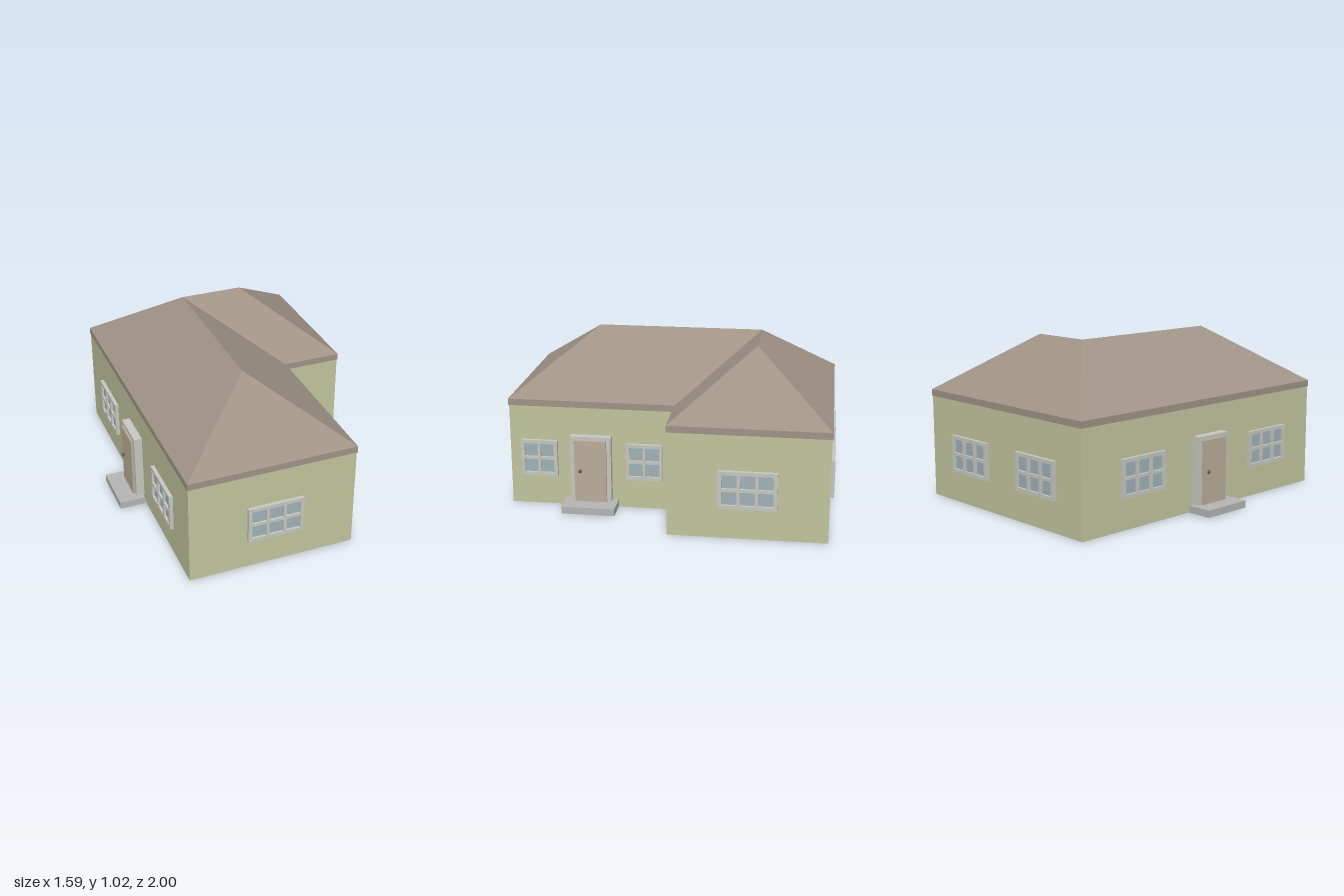
import * as THREE from 'three';

const mat = (color, extra = {}) => new THREE.MeshStandardMaterial({ color, ...extra });
const wallMat = mat(0xc2c59e), roofMat = mat(0xa09386, { flatShading: true });
const frameMat = mat(0xc8c8c2), glassMat = mat(0x9fb2b8), doorMat = mat(0xbbad99);
const stepMat = mat(0xb5b5b5, { side: THREE.DoubleSide }), knobMat = mat(0x6a5c48);

function add(parent, name, geometry, material, x = 0, y = 0, z = 0) {
  const mesh = new THREE.Mesh(geometry, material);
  mesh.name = name;
  mesh.position.set(x, y, z);
  parent.add(mesh);
  return mesh;
}

// L-shaped plan as [x, z] corners, optionally shrunk a little
const X0 = -0.63, X1 = 0.40, X2 = 0.77, Z0 = -0.98, Z1 = -0.04, Z2 = 0.977;
const plan = (i = 0) => [
  [X0 + i, Z0 + i], [X2 - i, Z0 + i], [X2 - i, Z1 - i],
  [X1 - i, Z1 - i], [X1 - i, Z2 - i], [X0 + i, Z2 - i],
];

function prism(corners, y0, y1) {
  const shape = new THREE.Shape(corners.map(([x, z]) => new THREE.Vector2(x, -z)));
  return new THREE.ExtrudeGeometry(shape, { depth: y1 - y0, bevelEnabled: false })
    .rotateX(-Math.PI / 2).translate(0, y0, 0);
}

// Hipped slopes meeting at an L-shaped ridge
function hipRoof() {
  const p = plan().map(([x, z]) => [x, 0.67, z]);
  p.push([-0.12, 1.02, 0.5], [-0.12, 1.02, -0.52], [0.27, 1.02, -0.52]);
  const faces = [[0, 7, 8, 1], [1, 8, 2], [2, 8, 7, 3], [3, 7, 6, 4], [4, 6, 5], [5, 6, 7, 0]];
  const pos = [];
  for (const f of faces) {
    for (let i = 1; i < f.length - 1; i++) pos.push(...p[f[0]], ...p[f[i]], ...p[f[i + 1]]);
  }
  const g = new THREE.BufferGeometry();
  g.setAttribute('position', new THREE.Float32BufferAttribute(pos, 3));
  g.computeVertexNormals();
  return g;
}

function rect(target, x, y, w, h) {
  target.moveTo(x, y);
  target.lineTo(x + w, y);
  target.lineTo(x + w, y + h);
  target.lineTo(x, y + h);
  target.closePath();
  return target;
}

// Window facing local +z, with its back on z = 0
function makeWindow(cols) {
  const g = new THREE.Group();
  g.name = 'window';
  const w = cols === 3 ? 0.342 : 0.225, h = 0.228, border = 0.022, bar = 0.018;
  const pw = (w - 2 * border - (cols - 1) * bar) / cols;
  const ph = (h - 2 * border - bar) / 2;
  const shape = rect(new THREE.Shape(), -w / 2, -h / 2, w, h);
  for (let c = 0; c < cols; c++) {
    for (let r = 0; r < 2; r++) {
      shape.holes.push(rect(new THREE.Path(),
        -w / 2 + border + c * (pw + bar), -h / 2 + border + r * (ph + bar), pw, ph));
    }
  }
  add(g, 'windowFrame', new THREE.ExtrudeGeometry(shape, { depth: 0.022, bevelEnabled: false }), frameMat);
  add(g, 'windowGlass', new THREE.BoxGeometry(w - 0.02, h - 0.02, 0.008), glassMat, 0, 0, 0.004);
  return g;
}

// Door, surround, knob and step facing local +z
function makeDoor() {
  const g = new THREE.Group();
  g.name = 'entrance';
  add(g, 'doorSurround', new THREE.BoxGeometry(0.25, 0.42, 0.05), frameMat, 0, 0.25, 0.015);
  add(g, 'door', new THREE.BoxGeometry(0.196, 0.39, 0.016), doorMat, 0, 0.242, 0.046);
  const stem = new THREE.CylinderGeometry(0.005, 0.005, 0.012, 10).rotateX(Math.PI / 2);
  add(g, 'knobStem', stem, knobMat, -0.061, 0.245, 0.056);
  const knob = new THREE.SphereGeometry(0.012, 14, 10).scale(1, 1, 0.6);
  add(g, 'doorKnob', knob, knobMat, -0.061, 0.245, 0.061);
  // Hollow step: a box without its underside
  const box = new THREE.BoxGeometry(0.325, 0.044, 0.16);
  const index = Array.from(box.index.array);
  box.setIndex(index.filter((_, i) => i < 18 || i >= 24));
  box.clearGroups();
  add(g, 'step', box, stepMat, 0, 0.026, 0.078);
  return g;
}

export function createModel() {
  const house = new THREE.Group();
  house.name = 'house';
  add(house, 'walls', prism(plan(0.004), 0, 0.64), wallMat);
  add(house, 'eaves', prism(plan(), 0.63, 0.67), roofMat);
  add(house, 'roof', hipRoof(), roofMat);

  const place = (part, x, y, z, turn) => {
    part.position.set(x, y, z);
    part.rotation.y = turn * Math.PI / 2;
    house.add(part);
  };

  // Windows: columns, x, z, quarter turns
  const windows = [
    [3, -0.105, 0.977, 0],
    [2, 0.40, 0.79, 1], [2, 0.40, 0.142, 1], [3, 0.768, -0.51, 1],
    [3, -0.243, -0.978, 2], [3, 0.373, -0.978, 2],
    [3, -0.63, -0.525, 3], [3, -0.63, 0.55, 3],
  ];
  for (const [cols, x, z, turn] of windows) place(makeWindow(cols), x, 0.304, z, turn);

  // Doors on both long sides
  place(makeDoor(), 0.399, 0, 0.468, 1);
  place(makeDoor(), -0.638, 0, 0.018, 3);
  return house;
}
